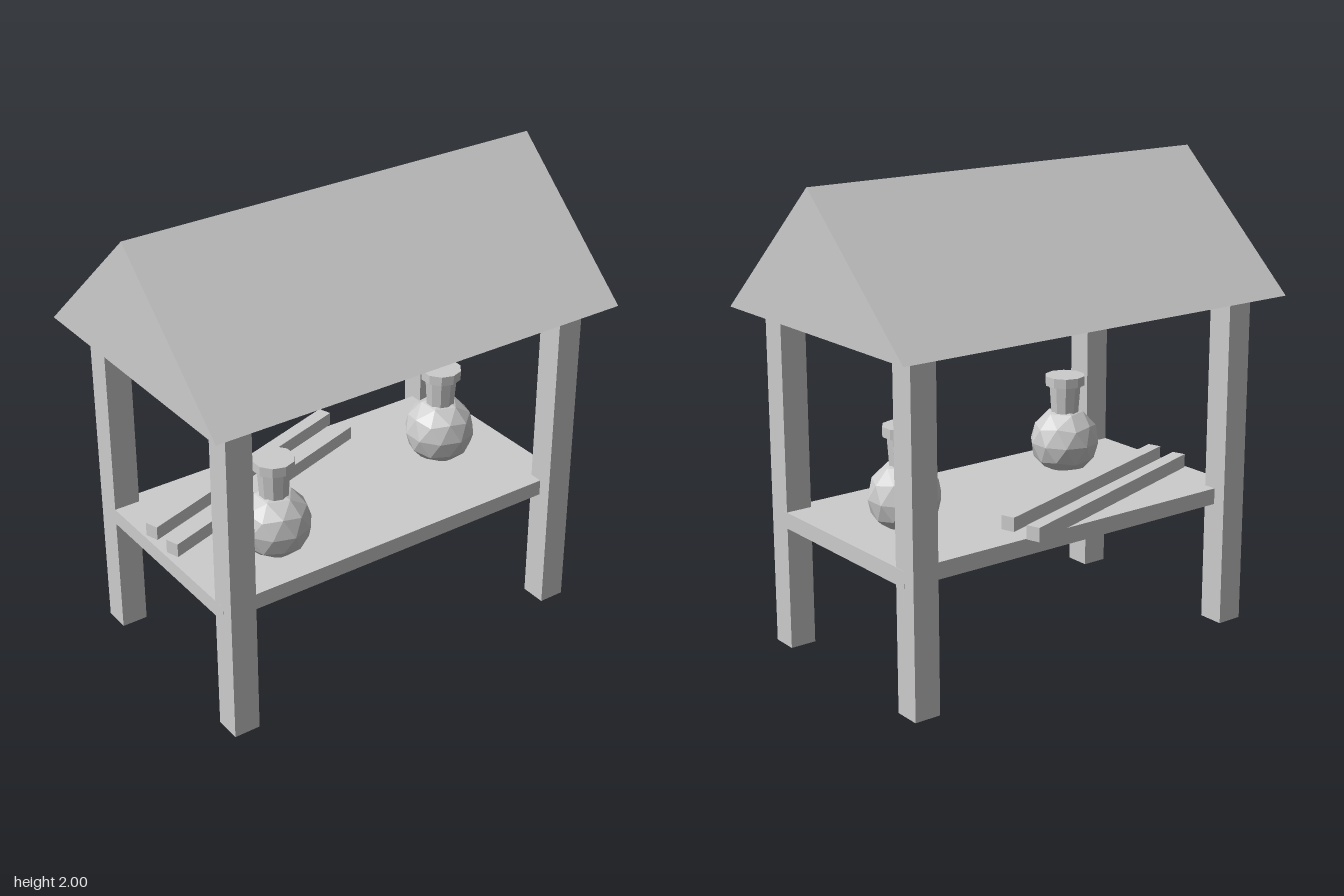
import * as THREE from 'three';

export function createModel() {
  const root = new THREE.Group();
  root.name = 'marketStall';
  const grey = new THREE.MeshStandardMaterial({ color: 0xcccccc, flatShading: true });
  grey.name = 'plain grey';

  const add = (name, geometry, x, y, z, parent = root) => {
    const mesh = new THREE.Mesh(geometry, grey);
    mesh.name = name;
    mesh.position.set(x, y, z);
    parent.add(mesh);
    return mesh;
  };

  // Gabled roof: a solid triangular prism along x
  const gable = new THREE.Shape([
    new THREE.Vector2(-0.615, 0),
    new THREE.Vector2(0.615, 0),
    new THREE.Vector2(0, 0.56),
  ]);
  const roof = new THREE.ExtrudeGeometry(gable, { depth: 1.92, bevelEnabled: false });
  roof.translate(0, 0, -0.96).rotateY(Math.PI / 2);
  add('roof', roof, 0, 1.44, 0);

  // Four corner posts
  for (const sx of [-1, 1]) {
    for (const sz of [-1, 1]) {
      const name = (sz > 0 ? 'front' : 'back') + (sx > 0 ? 'Left' : 'Right') + 'Post';
      add(name, new THREE.BoxGeometry(0.115, 1.44, 0.115), sx * 0.802, 0.72, sz * 0.453);
    }
  }

  // Shelf running through the posts
  add('shelf', new THREE.BoxGeometry(1.72, 0.07, 0.906), 0, 0.565, 0);

  // Two loose rods lying askew on the shelf
  for (const [name, x, z] of [['backRod', -0.283, -0.307], ['frontRod', -0.278, -0.152]]) {
    const rod = add(name, new THREE.BoxGeometry(1.168, 0.06, 0.06), x, 0.63, z);
    rod.rotation.y = THREE.MathUtils.degToRad(18);
  }

  // Round flasks with flared neck and rim; the body has a vertex pointing up
  const body = new THREE.IcosahedronGeometry(0.154, 1);
  body.rotateX(-Math.atan((1 + Math.sqrt(5)) / 2)).rotateY(Math.PI / 2);
  for (const [name, x, z] of [['rightFlask', -0.455, 0.205], ['leftFlask', 0.545, 0]]) {
    const flask = new THREE.Group();
    flask.name = name;
    flask.position.set(x, 0, z);
    root.add(flask);
    add('flaskBody', body, 0, 0.713, 0, flask);
    add('flaskNeck', new THREE.CylinderGeometry(0.071, 0.06, 0.15, 10), 0, 0.9, 0, flask);
    add('flaskRim', new THREE.CylinderGeometry(0.088, 0.088, 0.042, 10), 0, 0.99, 0, flask);
  }

  return root;
}
